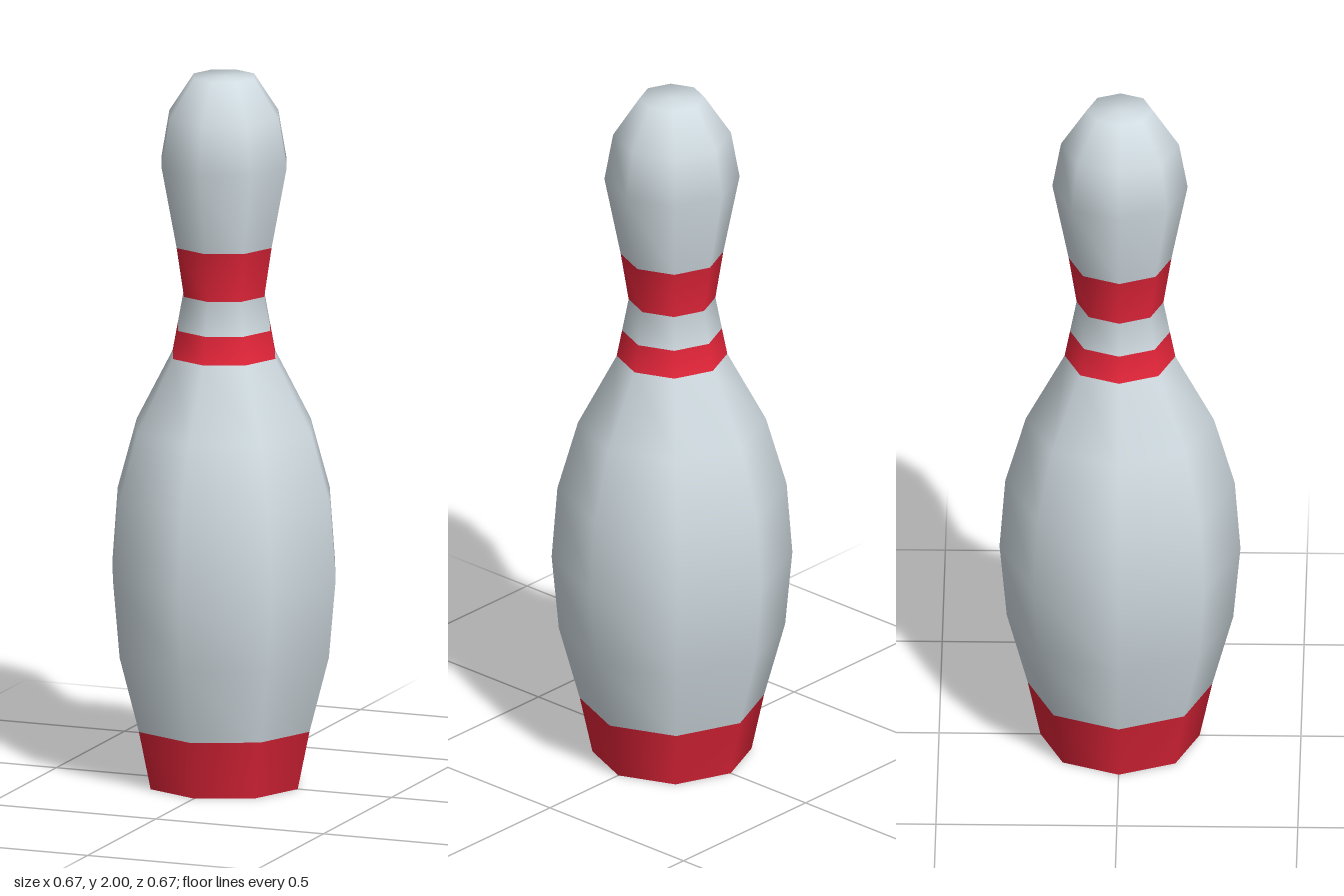
import * as THREE from 'three';

const SIDES = 8;

// Radius and height of each ring, from the foot to the crown
const PROFILE = [
  [0.22, 0], [0.255, 0.165], [0.313, 0.38], [0.333, 0.6], [0.317, 0.81],
  [0.26, 1.01], [0.153, 1.212], [0.138, 1.29], [0.12, 1.385], [0.142, 1.525],
  [0.187, 1.755], [0.163, 1.89], [0.09, 2], [0, 2],
].map(([r, y]) => new THREE.Vector2(r, y));

export function createModel() {
  const white = new THREE.MeshStandardMaterial({ color: 0xd0dbe1 });
  white.name = 'pale grey white';
  const red = new THREE.MeshStandardMaterial({ color: 0xde2438 });
  red.name = 'red';

  const group = new THREE.Group();
  group.name = 'bowlingPin';
  const add = (name, geometry, material) => {
    const mesh = new THREE.Mesh(geometry, material);
    mesh.name = name;
    group.add(mesh);
    return mesh;
  };

  // One smooth lathe, cut into bands so shading runs on across the colours
  const whole = new THREE.LatheGeometry(PROFILE, SIDES);
  const index = Array.from(whole.index.array);
  const rows = PROFILE.length - 1;
  const band = (from, to) => {
    const picked = [];
    for (let i = 0; i < SIDES; i++) {
      picked.push(...index.slice((i * rows + from) * 6, (i * rows + to) * 6));
    }
    return whole.clone().setIndex(picked).toNonIndexed();
  };

  add('baseBand', band(0, 1), red);
  add('body', band(1, 6), white);
  add('lowerNeckStripe', band(6, 7), red);
  add('neck', band(7, 8), white);
  add('upperNeckStripe', band(8, 9), red);
  add('head', band(9, rows), white);

  // Flat underside, with corners matching the base ring
  const underside = new THREE.CircleGeometry(PROFILE[0].x, SIDES);
  underside.rotateX(Math.PI / 2);
  add('underside', underside, red);

  return group;
}
